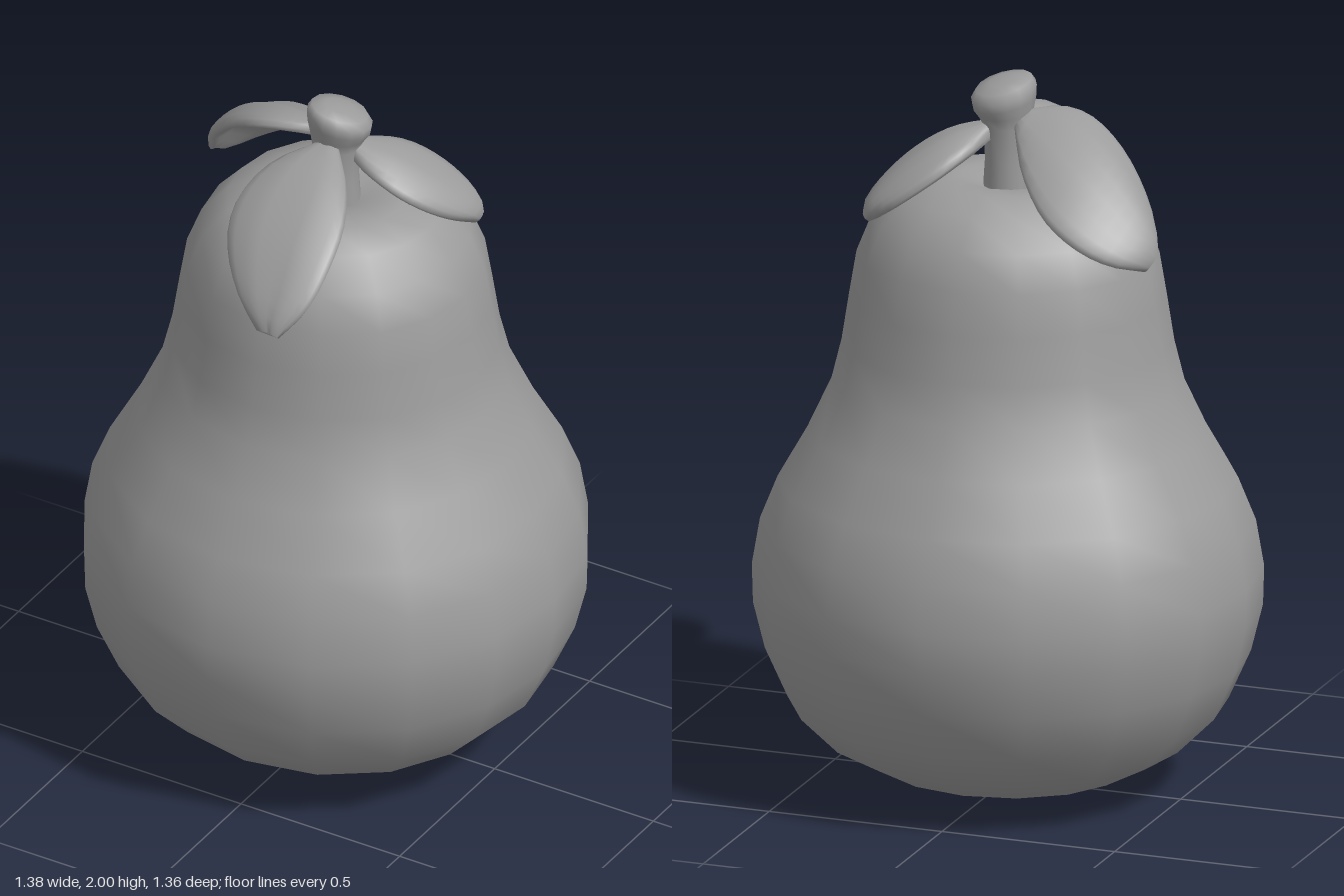
import * as THREE from 'three';
import { mergeVertices } from 'three/addons/utils/BufferGeometryUtils.js';

const material = new THREE.MeshStandardMaterial({ color: 0x9c9c9c });

// Lathe a [radius, height] profile, reshape it by a rule, then weld and smooth it
function turned(name, profile, sides, rule) {
  const geo = new THREE.LatheGeometry(profile.map(([r, y]) => new THREE.Vector2(r, y)), sides);
  const pos = geo.attributes.position;
  const v = new THREE.Vector3();
  for (let i = 0; i < pos.count; i++) {
    rule(v.fromBufferAttribute(pos, i));
    pos.setXYZ(i, v.x, v.y, v.z);
  }
  geo.deleteAttribute('uv');
  geo.deleteAttribute('normal');
  const welded = mergeVertices(geo, 1e-4);
  welded.computeVertexNormals();
  const mesh = new THREE.Mesh(welded, material);
  mesh.name = name;
  return mesh;
}

// Thick leaf swept along a midrib; sideA and sideB reach from midrib to each edge
function leaf(name, midrib, sideA, sideB) {
  const curve = new THREE.CatmullRomCurve3(midrib.map(p => new THREE.Vector3(...p)));
  const a = new THREE.Vector3(...sideA), b = new THREE.Vector3(...sideB);
  const across = a.clone().sub(b);
  const rows = 14, ring = 20, positions = [], index = [];
  for (let i = 0; i <= rows; i++) {
    const t = i / rows;
    const centre = curve.getPointAt(t);
    const normal = curve.getTangentAt(t).cross(across).normalize();
    // narrow at the stem, blunt at the tip
    const swell = Math.pow(Math.max(0, Math.sin(Math.PI * Math.pow(t, 0.9))), t < 0.5 ? 0.78 : 0.58);
    const width = Math.max(i === rows ? 0.2 : 0.15, swell);
    const thick = i === rows ? 0.012 : 0.022;
    for (let j = 0; j < ring; j++) {
      const angle = j / ring * Math.PI * 2;
      const u = Math.cos(angle), s = Math.sin(angle);
      // crease along the middle of the upper face
      const groove = s > 0.99 ? 0.014 * width : 0;
      const height = Math.sign(s) * Math.sqrt(Math.abs(s)) * thick - groove;
      const p = centre.clone()
        .addScaledVector(u > 0 ? a : b, Math.abs(u) * width)
        .addScaledVector(normal, height + 0.012 * width * (1 - u * u));
      positions.push(p.x, p.y, p.z);
      if (i < rows) {
        const k = i * ring + j, n = i * ring + (j + 1) % ring;
        index.push(k, n, k + ring, n, n + ring, k + ring);
      }
    }
  }
  // caps at base and tip
  for (let j = 1; j < ring - 1; j++) {
    const e = rows * ring;
    index.push(0, j + 1, j, e, e + j, e + j + 1);
  }
  const geo = new THREE.BufferGeometry();
  geo.setAttribute('position', new THREE.Float32BufferAttribute(positions, 3));
  geo.setIndex(index);
  geo.computeVertexNormals();
  const mesh = new THREE.Mesh(geo, material);
  mesh.name = name;
  return mesh;
}

export function createModel() {
  const model = new THREE.Group();
  model.name = 'pear';

  // Fruit, its sixteen sides spaced a little unevenly and slightly shallower in depth
  model.add(turned('fruit', [
    [0, 0], [0.2, 0.015], [0.35, 0.055], [0.49, 0.13], [0.595, 0.235], [0.655, 0.37],
    [0.687, 0.5], [0.69, 0.61], [0.668, 0.74], [0.62, 0.86], [0.54, 1.0], [0.475, 1.14],
    [0.448, 1.25], [0.428, 1.38], [0.408, 1.5], [0.368, 1.6], [0.295, 1.68],
    [0.2, 1.715], [0.13, 1.713], [0.07, 1.69], [0, 1.675],
  ], 16, v => {
    const a = Math.atan2(v.z, v.x), fold = Math.sin(2 * a);
    const r = Math.hypot(v.x, v.z) * (1 + 0.012 * fold * fold);
    v.x = r * Math.cos(a - 0.05 * fold);
    v.z = r * Math.sin(a - 0.05 * fold) * 0.983;
  }));

  // Stem with a flared, tilted end
  model.add(turned('stem', [
    [0.07, 1.65], [0.063, 1.76], [0.066, 1.86], [0.076, 1.895], [0.087, 1.925],
    [0.09, 1.952], [0.077, 1.974], [0.04, 1.984], [0, 1.986],
  ], 14, v => {
    const s = THREE.MathUtils.smoothstep(v.y, 1.84, 1.95);
    v.y += s * 0.2 * (v.z - v.x);
    v.x += s * 0.012;
  }));

  // Three drooping leaves around the stem
  model.add(leaf('frontLeaf',
    [[0.01, 1.88, 0.04], [0.02, 1.855, 0.18], [0.04, 1.77, 0.34], [0.08, 1.65, 0.47], [0.1, 1.575, 0.522]],
    [0.165, -0.03, 0.02], [-0.178, -0.03, 0.0]));
  model.add(leaf('rightLeaf',
    [[-0.04, 1.885, -0.01], [-0.18, 1.86, -0.06], [-0.32, 1.785, -0.125], [-0.44, 1.67, -0.17], [-0.49, 1.585, -0.18]],
    [0.01, 0.045, 0.155], [0.045, -0.13, -0.195]));
  model.add(leaf('backLeaf',
    [[0.03, 1.855, -0.02], [0.13, 1.825, -0.08], [0.22, 1.765, -0.13], [0.3, 1.68, -0.18], [0.332, 1.625, -0.2]],
    [-0.05, -0.045, -0.125], [0.04, -0.025, 0.135]));

  return model;
}
